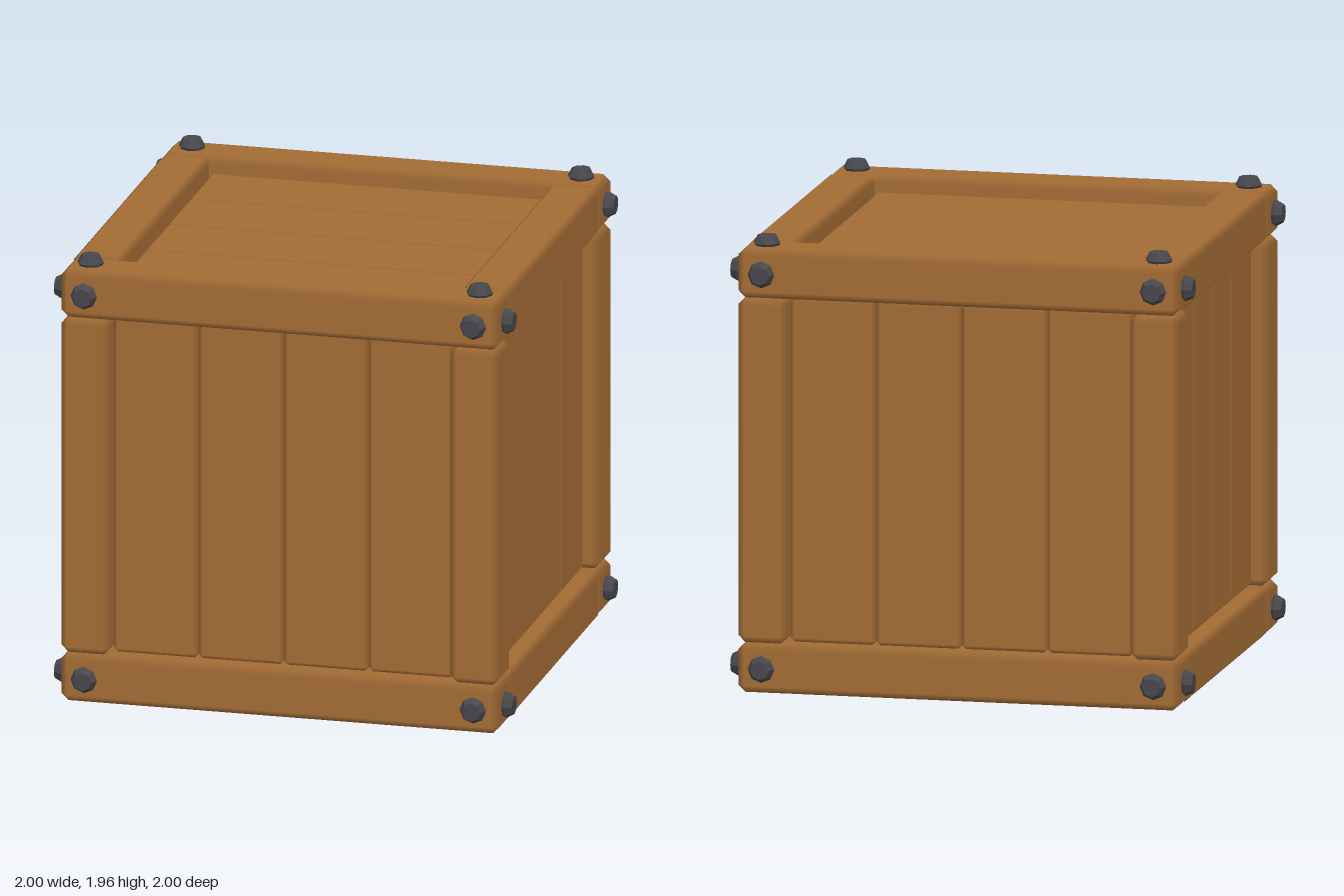
import * as THREE from 'three';
import { ConvexGeometry } from 'three/addons/geometries/ConvexGeometry.js';

const H = 0.956;            // half size of the timber cube
const B = 0.214;            // beam thickness
const C = H - B / 2;        // beam centre line
const INNER = 2 * (H - B);  // clear span between beams
const RECESS = 0.07;        // how far the boards sit behind the frame

// Chamfered box; each corner point keeps its own face normal for soft edges
function chamferBox(w, h, d, c) {
  const half = [w / 2, h / 2, d / 2];
  const points = [];
  for (let axis = 0; axis < 3; axis++)
    for (const sx of [-1, 1]) for (const sy of [-1, 1]) for (const sz of [-1, 1]) {
      const s = [sx, sy, sz];
      points.push(new THREE.Vector3(...half.map((v, i) => s[i] * (i === axis ? v : v - c))));
    }
  const geo = new ConvexGeometry(points);
  const pos = geo.attributes.position;
  for (let i = 0; i < pos.count; i++) {
    const p = [pos.getX(i), pos.getY(i), pos.getZ(i)];
    geo.attributes.normal.setXYZ(i, ...p.map((v, k) => (Math.abs(v) > half[k] - c / 2 ? Math.sign(v) : 0)));
  }
  return geo;
}

export function createModel() {
  const wood = new THREE.MeshStandardMaterial({ color: 0xa36c35 });
  wood.name = 'wood';
  const iron = new THREE.MeshStandardMaterial({ color: 0x47474c });
  iron.name = 'iron';

  const model = new THREE.Group();
  model.name = 'crate';
  const body = new THREE.Group();
  body.name = 'crateBody';
  body.position.y = H;
  model.add(body);

  const add = (parent, name, geo, mat, x, y, z) => {
    const mesh = new THREE.Mesh(geo, mat);
    mesh.name = name;
    mesh.position.set(x, y, z);
    parent.add(mesh);
    return mesh;
  };

  // Frame: full-width rails front and back, shorter side rails and posts
  const longRail = chamferBox(2 * H, B, B, 0.03);
  const sideRail = chamferBox(B, B, INNER, 0.025);
  const post = chamferBox(B, INNER, B, 0.03);
  for (const a of [-1, 1]) for (const b of [-1, 1]) {
    add(body, 'longRail', longRail, wood, 0, a * C, b * C);
    add(body, 'sideRail', sideRail, wood, a * C, b * C, 0);
    add(body, 'cornerPost', post, wood, a * C, 0, b * C);
  }

  // Four boards per panel, built facing +z and turned into place
  const T = 0.1;
  const boardWidth = INNER / 4;
  const board = chamferBox(boardWidth, INNER, T, 0.018);
  const panel = (name, rx, ry, rz) => {
    const g = new THREE.Group();
    g.name = name;
    g.rotation.set(rx, ry, rz);
    for (let i = 0; i < 4; i++)
      add(g, 'board', board, wood, (i - 1.5) * boardWidth, 0, H - RECESS - T / 2);
    body.add(g);
  };
  panel('frontPanel', 0, 0, 0);
  panel('backPanel', 0, Math.PI, 0);
  panel('leftPanel', 0, Math.PI / 2, 0);
  panel('rightPanel', 0, -Math.PI / 2, 0);
  panel('lidPanel', -Math.PI / 2, 0, Math.PI / 2);

  // Plain floor
  add(body, 'floor', new THREE.BoxGeometry(INNER + 0.02, T, INNER + 0.02), wood, 0, -H + RECESS + T / 2, 0);

  // Faceted bolt heads, axis along y
  const profile = [[0.046, -0.01], [0.058, 0.01], [0.04, 0.044], [0, 0.044]]
    .map(([r, y]) => new THREE.Vector2(r, y));
  let bolt = new THREE.LatheGeometry(profile, 8).toNonIndexed();
  bolt.computeVertexNormals();
  for (const a of [-1, 1]) for (const b of [-1, 1]) {
    add(body, 'lidBolt', bolt, iron, a * C, H, b * C);
    for (const s of [-1, 1]) {
      add(body, 'faceBolt', bolt, iron, a * C, b * C, s * H).rotation.x = s * Math.PI / 2;
      add(body, 'sideBolt', bolt, iron, s * H, a * C, b * C).rotation.z = -s * Math.PI / 2;
    }
  }
  return model;
}
